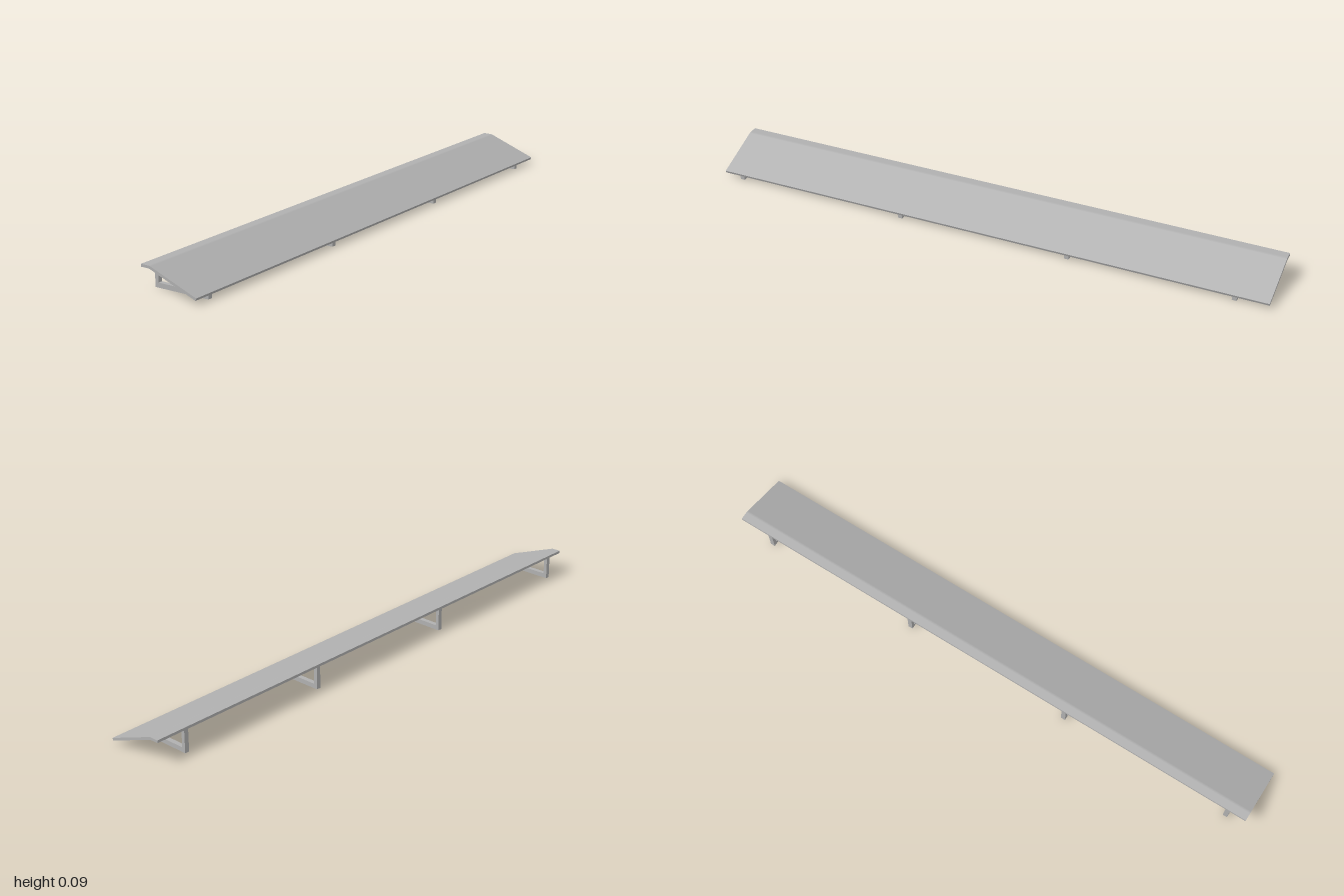
import * as THREE from 'three';

// Extrudes an XY profile along z, centred on the given z
function extrude(shape, depth, z, material, name) {
  const geometry = new THREE.ExtrudeGeometry(shape, { depth, bevelEnabled: false, curveSegments: 6 });
  geometry.translate(0, 0, z - depth / 2);
  const mesh = new THREE.Mesh(geometry, material);
  mesh.name = name;
  return mesh;
}

export function createModel() {
  const model = new THREE.Group();
  model.name = 'slopedCanopy';
  const metal = new THREE.MeshStandardMaterial({ color: 0xb0b0b0 });
  metal.name = 'grey metal';

  // Long roof sheet: short flat lip, soft bend, then a straight slope
  const roof = new THREE.Shape();
  roof.moveTo(-0.105, 0.079);
  roof.lineTo(-0.078, 0.079);
  roof.quadraticCurveTo(-0.074, 0.079, -0.07, 0.0775);
  roof.lineTo(0.101, 0.0125);
  roof.lineTo(0.104, 0.0205);
  roof.lineTo(-0.067, 0.0858);
  roof.quadraticCurveTo(-0.072, 0.088, -0.077, 0.088);
  roof.lineTo(-0.105, 0.088);
  model.add(extrude(roof, 2, 0, metal, 'roofSheet'));

  // L-shaped bracket: upright post and foot bar trimmed under the slope
  const profile = new THREE.Shape([
    [-0.103, 0], [0.101, 0], [0.101, 0.0125], [0.092, 0.016],
    [-0.0905, 0.016], [-0.0905, 0.079], [-0.103, 0.079],
  ].map(([x, y]) => new THREE.Vector2(x, y)));
  for (const z of [0.933, 0.306, -0.308, -0.884]) {
    model.add(extrude(profile, 0.016, z, metal, 'supportBracket'));
  }
  return model;
}
